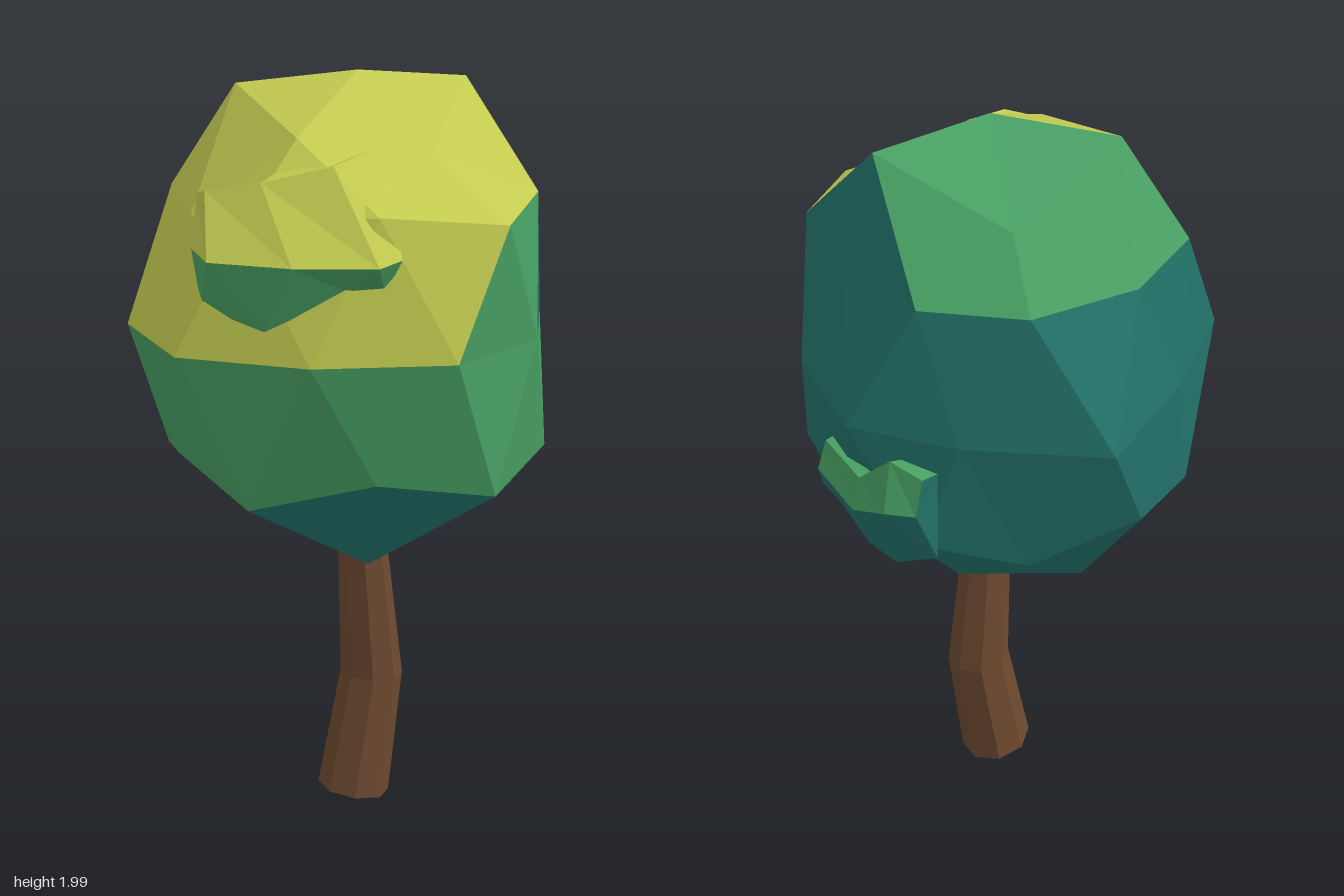
import * as THREE from 'three';

const material = (name, color) => {
  const m = new THREE.MeshStandardMaterial({ color });
  m.name = name;
  return m;
};

// Collects triangles by colour key, turning each one away from the centre.
class Facets {
  constructor(centre) {
    this.centre = new THREE.Vector3(...centre);
    this.lists = {};
  }
  tri(key, a, b, c) {
    const [p, q, r] = [a, b, c].map(v => new THREE.Vector3(...v));
    const normal = q.clone().sub(p).cross(r.clone().sub(p));
    const out = p.clone().add(q).add(r).divideScalar(3).sub(this.centre);
    const order = normal.dot(out) < 0 ? [a, c, b] : [a, b, c];
    (this.lists[key] ||= []).push(...order.flat());
  }
  quad(key, a, b, c, d) {
    this.tri(key, a, b, c);
    this.tri(key, a, c, d);
  }
  build(name, mats) {
    const group = new THREE.Group();
    group.name = name;
    for (const [key, list] of Object.entries(this.lists)) {
      const geo = new THREE.BufferGeometry();
      geo.setAttribute('position', new THREE.Float32BufferAttribute(list, 3));
      geo.computeVertexNormals();
      const mesh = new THREE.Mesh(geo, mats[key]);
      mesh.name = name + mats[key].name;
      group.add(mesh);
    }
    return group;
  }
}

// Faceted crown: rings of an uneven icosphere, counted from +x towards -z
function makeCrown(mats) {
  const top = [0.03, 2, 0.03], bottom = [0.02, 0.765, 0.02];
  const cap = [[0.34, 1.97, 0.03], [0.13, 1.84, -0.26], [-0.22, 1.96, -0.16],
    [-0.22, 1.87, 0.21], [0.12, 1.825, 0.27]];
  const upper = [[0.43, 1.65, 0.03], [0.37, 1.69, -0.23], [0.17, 1.7, -0.41], [-0.12, 1.7, -0.41],
    [-0.36, 1.7, -0.26], [-0.42, 1.67, 0.02], [-0.4, 1.68, 0.28], [-0.13, 1.715, 0.47],
    [0.19, 1.68, 0.52], [0.4, 1.71, 0.3]];
  const middle = [[0.52, -0.14], [0.33, -0.36], [0.03, -0.57], [-0.27, -0.38], [-0.53, -0.155],
    [-0.545, 0.21], [-0.3, 0.45], [0.03, 0.57], [0.33, 0.43], [0.49, 0.18]].map(([x, z]) => [x, 1.37, z]);
  const lower = [[0.46, 1.03, 0], [0.4, 1.06, -0.28], [0.17, 1, -0.41], [-0.13, 1.06, -0.45],
    [-0.38, 1, -0.28], [-0.46, 1.06, 0], [-0.39, 0.98, 0.28], [-0.13, 1.06, 0.46],
    [0.18, 1, 0.5], [0.43, 1.05, 0.32]];
  const base = [[0.24, 0.84, -0.17], [-0.07, 0.79, -0.27], [-0.26, 0.87, 0],
    [-0.07, 0.795, 0.3], [0.24, 0.84, 0.18]];
  const crown = new Facets([0, 1.37, 0]);

  // A pole fan and the band joining a ring of five to a ring of ten
  const end = (pole, five, ten, shift, fanKeys, bandKeys) => {
    for (let k = 0; k < 5; k++) {
      const a = five[k], b = five[(k + 1) % 5];
      const t = i => ten[(2 * k + shift + i + 10) % 10];
      crown.tri(fanKeys[k], pole, a, b);
      crown.tri(bandKeys[3 * k], a, t(-1), t(0));
      crown.tri(bandKeys[3 * k + 1], a, t(0), t(1));
      crown.tri(bandKeys[3 * k + 2], a, b, t(1));
    }
  };
  // A zigzag band between a ring of ten and the middle ring
  const band = (ring, keys) => {
    for (let j = 0; j < 10; j++) {
      const n = (j + 1) % 10;
      crown.tri(keys[2 * j], ring[j], ring[n], middle[j]);
      crown.tri(keys[2 * j + 1], middle[j], middle[n], ring[n]);
    }
  };
  end(top, cap, upper, 0, 'GGYYY', 'TTGGGGGYYYYYYYY');
  band(upper, 'TTTTTTTTYYYYYYYGGTTT');
  band(lower, 'TTTTTTTTGGGGGGGGGGTT');
  end(bottom, base, lower, 1, 'TTTTT', 'TTTTTTTTTTTTTTT');
  return crown.build('crown', mats);
}

// Leaf clump: stations of [top, brow, rim, under]; its open back is buried in the crown
function makeClump(name, centre, stations, topKey, underKey, mats) {
  const clump = new Facets(centre);
  for (let i = 0; i < stations.length - 1; i++) {
    const a = stations[i], b = stations[i + 1];
    [topKey, topKey, underKey].forEach((key, j) => clump.quad(key, a[j], b[j], b[j + 1], a[j + 1]));
  }
  for (const s of [stations[0], stations.at(-1)]) clump.quad(underKey, ...s);
  return clump.build(name, mats);
}

// Bent trunk: an eight-sided cylinder whose rings are shifted, tilted and tapered
function makeTrunk(mat) {
  const rings = [[0.035, 0.88, 0.06, -0.05], [0.055, 0.695, 0.069, -0.08],
    [0.08, 0.362, 0.085, -0.09], [0.025, 0.022, 0.098, -0.18]]; // x, y, radius, slope
  const geo = new THREE.CylinderGeometry(1, 1, 3, 8, 3, false, Math.PI / 8).toNonIndexed();
  const p = geo.attributes.position;
  for (let i = 0; i < p.count; i++) {
    const [cx, cy, r, slope] = rings[Math.round(1.5 - p.getY(i))];
    const x = p.getX(i) * r;
    p.setXYZ(i, cx + x, cy + x * slope, 0.025 + p.getZ(i) * r * 0.97);
  }
  geo.computeVertexNormals();
  const trunk = new THREE.Mesh(geo, mat);
  trunk.name = 'trunk';
  return trunk;
}

export function createModel() {
  const mats = {
    Y: material('YellowLeaves', 0xc3cb50),
    G: material('GreenLeaves', 0x48a063),
    T: material('TealLeaves', 0x23736b),
  };
  const tree = new THREE.Group();
  tree.name = 'tree';
  tree.add(makeTrunk(material('Bark', 0x6d4930)), makeCrown(mats));

  tree.add(makeClump('frontClump', [-0.25, 1.6, 0.25], [
    [[-0.39, 1.68, 0], [-0.4, 1.72, 0.01], [-0.46, 1.61, 0.12], [-0.45, 1.55, 0.12]],
    [[-0.36, 1.7, 0.13], [-0.45, 1.76, 0.19], [-0.49, 1.61, 0.29], [-0.48, 1.49, 0.23]],
    [[-0.26, 1.8, 0.21], [-0.35, 1.785, 0.29], [-0.34, 1.61, 0.44], [-0.38, 1.45, 0.37]],
    [[-0.18, 1.8, 0.26], [-0.2, 1.825, 0.37], [-0.16, 1.61, 0.53], [-0.2, 1.545, 0.46]],
    [[-0.06, 1.79, 0.26], [-0.06, 1.85, 0.31], [-0.09, 1.62, 0.51], [-0.12, 1.54, 0.48]],
  ], 'Y', 'G', mats));

  tree.add(makeClump('sideClump', [0.38, 1.15, -0.12], [
    [[0.46, 1.11, 0.08], [0.485, 1.1, 0.08], [0.49, 1.05, 0.09], [0.46, 1.04, 0.05]],
    [[0.48, 1.24, 0.02], [0.51, 1.24, 0.01], [0.54, 1.17, 0], [0.49, 1.06, 0]],
    [[0.48, 1.25, -0.18], [0.515, 1.25, -0.19], [0.54, 1.17, -0.2], [0.47, 1, -0.13]],
    [[0.43, 1.31, -0.25], [0.47, 1.33, -0.27], [0.5, 1.2, -0.29], [0.43, 0.97, -0.2]],
    [[0.37, 1.29, -0.32], [0.42, 1.3, -0.34], [0.44, 1.2, -0.34], [0.38, 1.05, -0.33]],
  ], 'G', 'T', mats));
  return tree;
}
